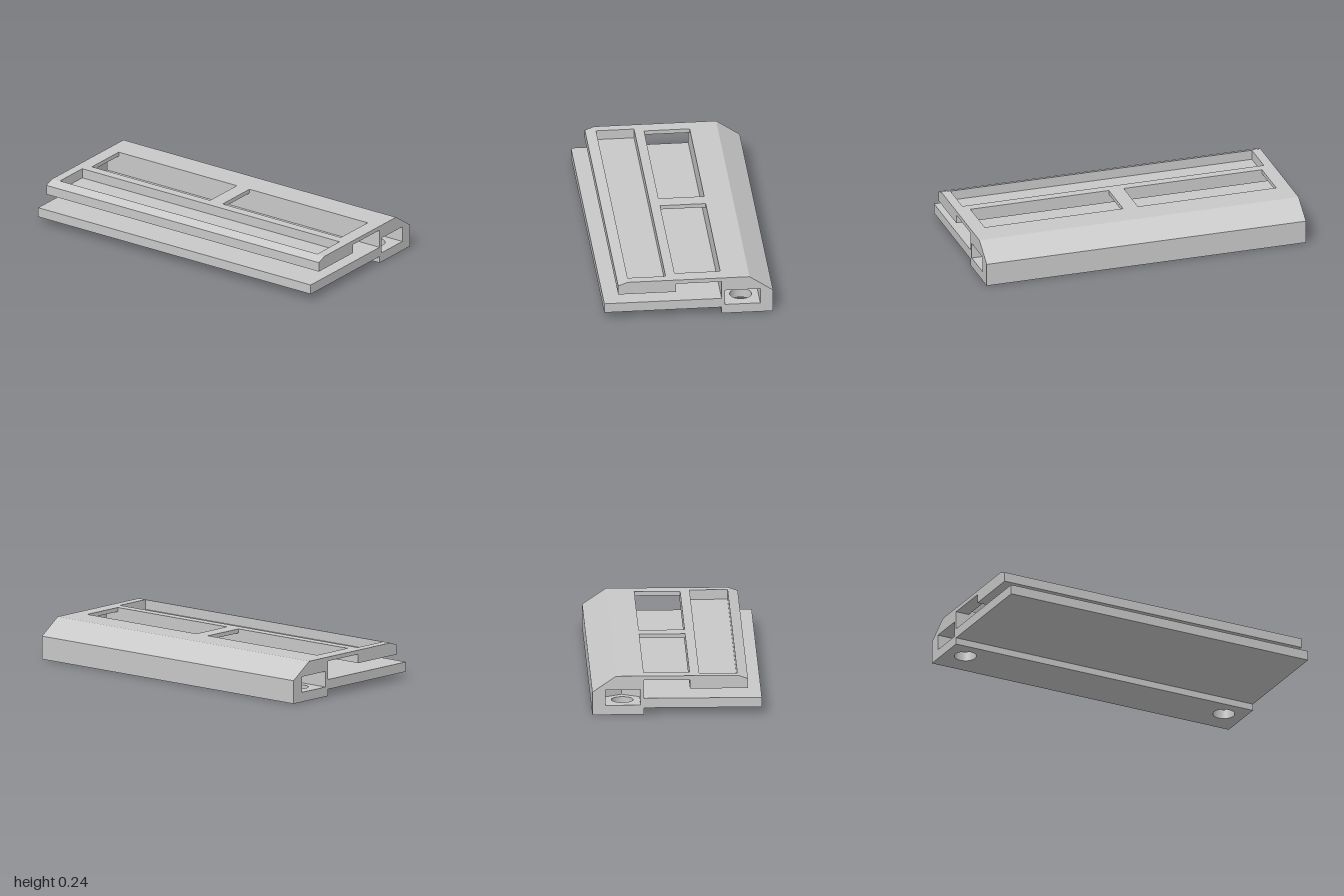
import * as THREE from 'three';

const toShape = (pts) => new THREE.Shape(pts.map(([a, b]) => new THREE.Vector2(a, b)));
const rect = (x0, x1, z0, z1) => [[x0, -z1], [x1, -z1], [x1, -z0], [x0, -z0]];

export function createModel() {
  const group = new THREE.Group();
  const grey = new THREE.MeshStandardMaterial({ color: 0xc8c8c8 });
  grey.name = 'plain grey';

  const add = (name, geometry) => {
    const mesh = new THREE.Mesh(geometry, grey);
    mesh.name = name;
    group.add(mesh);
  };

  // Horizontal slab with a counter-clockwise plan outline (x, -z), between heights y0 and y1
  const slab = (name, outline, y0, y1, holes = []) => {
    const shape = toShape(outline);
    shape.holes.push(...holes);
    const g = new THREE.ExtrudeGeometry(shape, { depth: y1 - y0, bevelEnabled: false, curveSegments: 48 });
    g.rotateX(-Math.PI / 2);
    g.translate(0, y0, 0);
    add(name, g);
  };

  // Constant cross-section (x, y) running the whole length
  const bar = (name, profile) => {
    const g = new THREE.ExtrudeGeometry(toShape(profile), { depth: 2, bevelEnabled: false });
    g.translate(0, 0, -1);
    add(name, g);
  };

  const opening = (...r) => toShape(rect(...r));
  const slot = () => opening(-0.36, -0.133, -0.944, 0.944);
  const edgeX = 0.505, bodyX = 0.197, railX = -0.076, sheetX = -0.365, lapX = 0.3;
  const top = 0.237, sheetY = 0.212, railY = 0.158, floorY = 0.178;

  // Lower plate
  slab('lowerPlate', rect(-edgeX, bodyX, -1, 1), 0.041, 0.1);

  // Upper plate: thin sheet with windows over a thicker rail with a long recess
  slab('upperSheet', rect(sheetX, lapX, -1, 1), sheetY, top, [
    slot(),
    opening(railX, bodyX, -0.914, -0.048),
    opening(railX, bodyX, 0.045, 0.912),
  ]);
  slab('railWalls', rect(sheetX, railX, -1, 1), floorY, sheetY, [slot()]);
  slab('railFloor', rect(sheetX, railX, -1, 1), railY, floorY);
  bar('railChamferedEdge', [[-0.422, railY], [sheetX, railY], [sheetX, top], [-0.422, 0.216]]);

  // Body: base with a round hole near each end
  const holeX = 0.323, holeZ = 0.87, half = 0.105, pocketY0 = 0.058, pocketY1 = 0.153;
  const holes = [-1, 1].map((s) => new THREE.Path().absarc(holeX, s * holeZ, 0.065, 0, Math.PI * 2, true));
  slab('bodyBase', rect(bodyX, edgeX, -1, 1), 0, pocketY0, holes);

  // Body core with a hexagon-ended pocket opening at each end
  const coreX = 0.45;
  const wallZ = holeZ - half / Math.sqrt(3);
  const tipZ = holeZ - 2 * half / Math.sqrt(3);
  const notch = (s) => [
    [holeX + s * half, s], [holeX + s * half, s * wallZ], [holeX, s * tipZ],
    [holeX - s * half, s * wallZ], [holeX - s * half, s],
  ];
  slab('bodyCore', [
    [bodyX, -1], ...notch(-1), [coreX, -1],
    [coreX, 1], ...notch(1), [bodyX, 1],
  ], pocketY0, pocketY1);

  // Body cover with the sloping outer face
  bar('bodyCover', [
    [coreX, pocketY0], [edgeX, pocketY0], [edgeX, 0.14], [0.364, top], [lapX, top],
    [lapX, sheetY], [bodyX, sheetY], [bodyX, pocketY1], [coreX, pocketY1],
  ]);

  return group;
}
